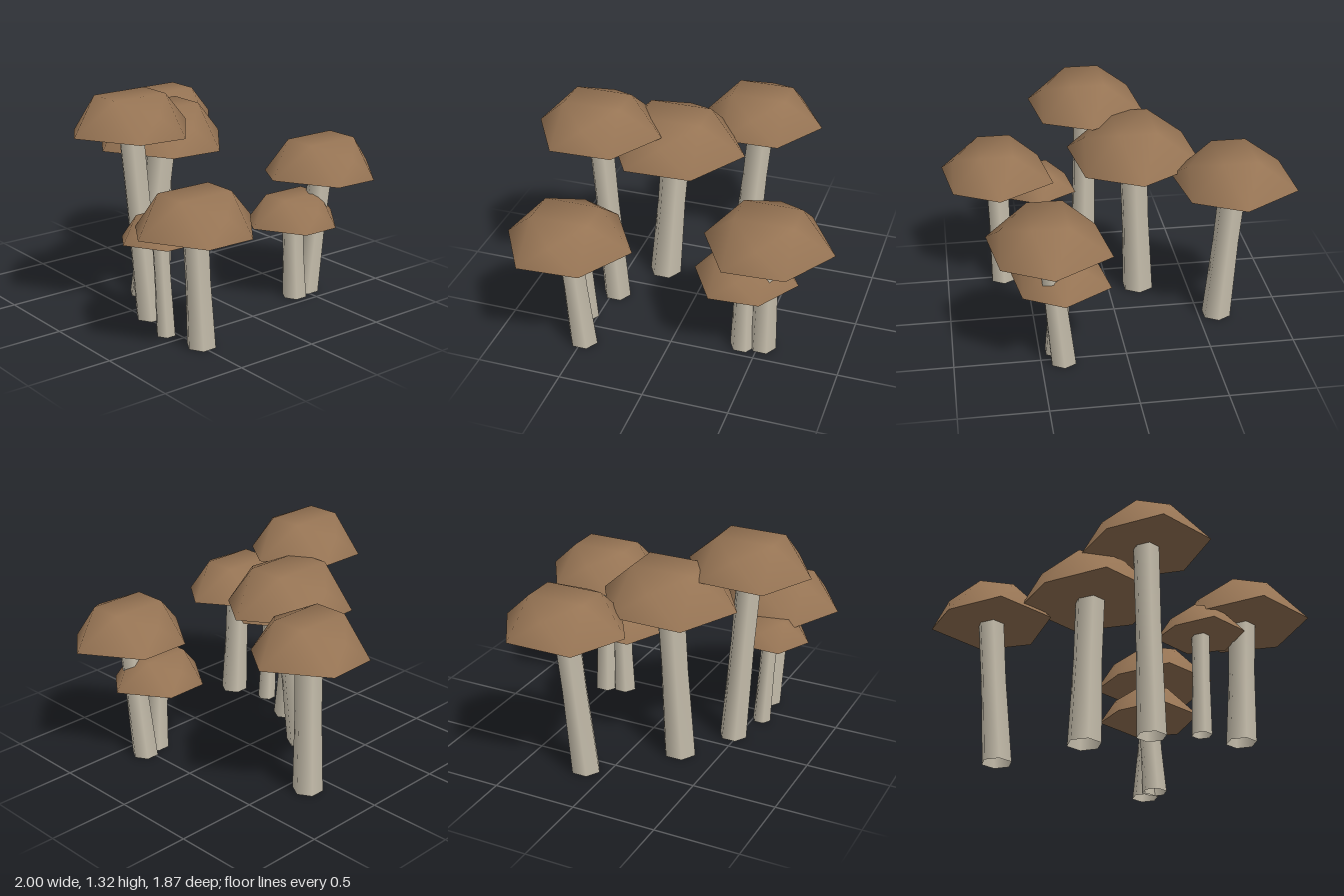
import * as THREE from 'three';

const capMaterial = new THREE.MeshStandardMaterial({ color: 0x967454, side: THREE.DoubleSide });
const stemMaterial = new THREE.MeshStandardMaterial({ color: 0xc8c0ae, side: THREE.DoubleSide });

// Six-sided rim with alternating heights, counter-clockwise seen from above
const rim = [
  [0, 0.03, -0.38], [-0.34, 0.035, -0.17], [-0.28, 0, 0.19],
  [0, 0.03, 0.37], [0.335, 0.03, 0.17], [0.275, 0, -0.17],
];
// Crown ring, turned half a step against the rim
const crown = [
  [-0.1, 0.225, -0.165], [-0.26, 0.155, 0], [-0.1, 0.225, 0.17],
  [0.1, 0.225, 0.17], [0.265, 0.15, 0], [0.1, 0.225, -0.165],
];

function surface(points, index) {
  const geometry = new THREE.BufferGeometry();
  geometry.setAttribute('position', new THREE.Float32BufferAttribute(points.flat(), 3));
  geometry.setIndex(index);
  geometry.computeVertexNormals();
  return geometry;
}

// Domed upper side: a zigzag band closed by a flat-topped crown
function domeGeometry() {
  const index = [];
  for (let i = 0; i < 6; i++) {
    const j = (i + 1) % 6;
    index.push(i, j, 6 + i, 6 + i, j, 6 + j);
  }
  index.push(6, 7, 8, 6, 8, 11, 11, 8, 9, 11, 9, 10);
  return surface([...rim, ...crown], index);
}

// Shallow underside fanning from the stem to the rim
function undersideGeometry() {
  const index = [];
  for (let i = 0; i < 6; i++) index.push(6, (i + 1) % 6, i);
  return surface([...rim, [0, 0.015, 0]], index);
}

// Hollow six-sided stem, leaning from its foot to the cap centre
function stemGeometry(foot, head, height, radius) {
  const profile = [[1, 0.01], [0.87, 0.58 * height], [0.9, height]]
    .map(([r, y]) => new THREE.Vector2(r * radius, y));
  const geometry = new THREE.LatheGeometry(profile, 6);
  const position = geometry.attributes.position;
  for (let i = 0; i < position.count; i++) {
    const t = position.getY(i) / height;
    position.setX(i, position.getX(i) + THREE.MathUtils.lerp(foot[0], head[0], t));
    position.setZ(i, position.getZ(i) + THREE.MathUtils.lerp(foot[1], head[1], t));
  }
  return geometry;
}

// Cap centre (x, z), cap base height, cap scale, stem foot (x, z), stem radius
const mushrooms = [
  { head: [0.1, 0.56], y: 1.107, scale: 1, foot: [0.14, 0.47], radius: 0.085 },
  { head: [0.66, 0.545], y: 0.68, scale: 1, foot: [0.645, 0.49], radius: 0.085 },
  { head: [-0.665, -0.21], y: 0.9, scale: 1, foot: [-0.61, -0.135], radius: 0.09 },
  { head: [0.445, -0.555], y: 0.75, scale: 1, foot: [0.37, -0.525], radius: 0.08 },
  { head: [-0.14, 0.175], y: 0.925, scale: 1.12, foot: [-0.19, 0.27], radius: 0.1 },
  { head: [0.4, 0.585], y: 0.575, scale: 0.66, foot: [0.4, 0.55], radius: 0.057 },
  { head: [0.37, -0.41], y: 0.46, scale: 0.82, foot: [0.4, -0.41], radius: 0.075 },
];

export function createModel() {
  const model = new THREE.Group();
  model.name = 'mushroomCluster';
  const dome = domeGeometry();
  const underside = undersideGeometry();

  for (const { head, y, scale, foot, radius } of mushrooms) {
    const mushroom = new THREE.Group();
    mushroom.name = 'mushroom';

    const cap = new THREE.Group();
    cap.name = 'cap';
    cap.position.set(head[0], y, head[1]);
    cap.scale.setScalar(scale);
    for (const [name, geometry] of [['capTop', dome], ['capUnderside', underside]]) {
      const mesh = new THREE.Mesh(geometry, capMaterial);
      mesh.name = name;
      cap.add(mesh);
    }

    const stem = new THREE.Mesh(stemGeometry(foot, head, y + 0.03, radius), stemMaterial);
    stem.name = 'stem';
    mushroom.add(cap, stem);
    model.add(mushroom);
  }
  return model;
}
